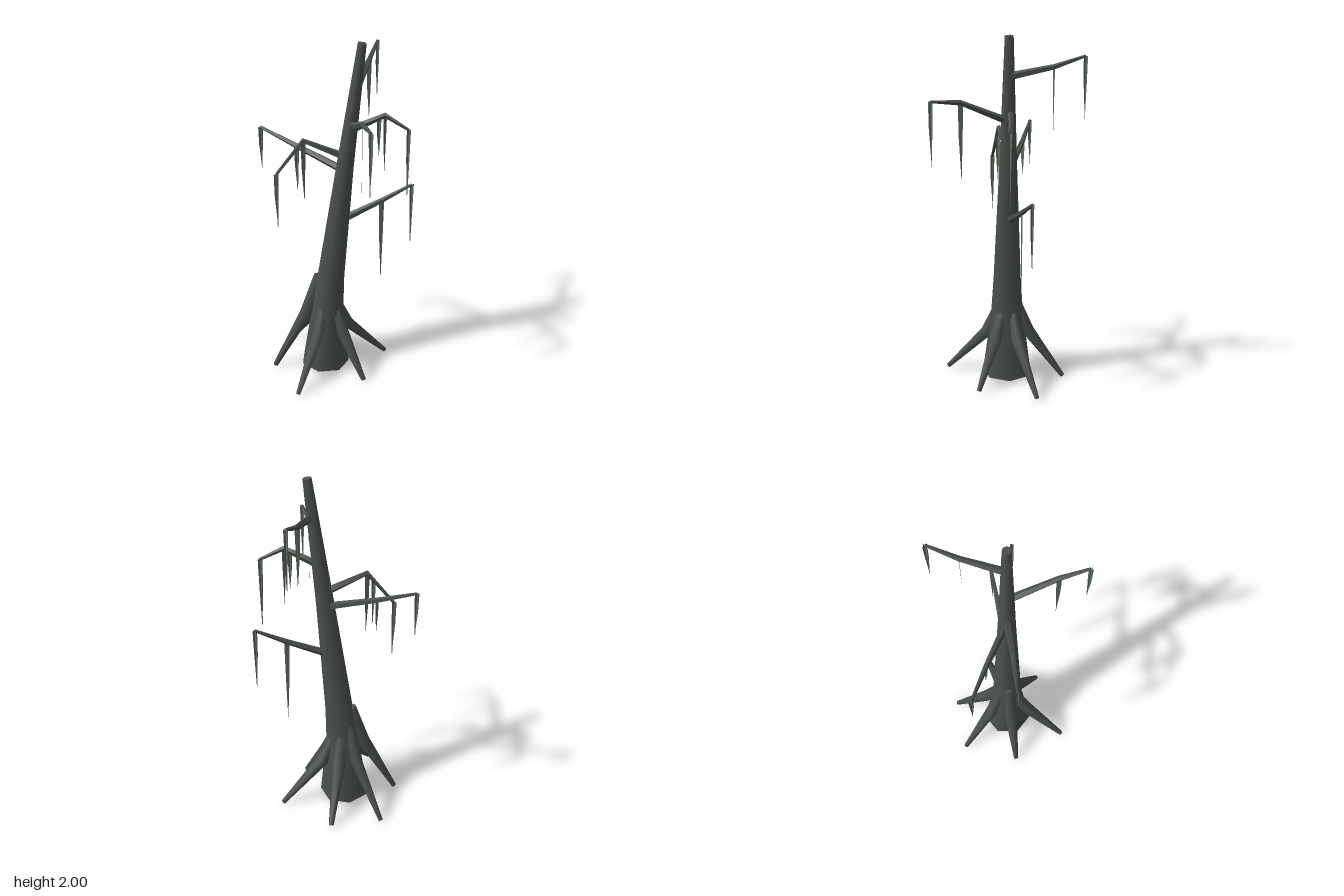
import * as THREE from 'three';
import { toCreasedNormals } from 'three/addons/utils/BufferGeometryUtils.js';

const V = (a) => new THREE.Vector3(a[0], a[1], a[2]);
const bark = new THREE.MeshStandardMaterial({ color: 0x4a504c });
const mossMat = new THREE.MeshStandardMaterial({ color: 0x5c6a5e, side: THREE.DoubleSide });

// Tapered limb: a cylinder whose rows follow the points, one radius per point
function limb(name, points, radii, sides) {
  const p = points.map(V), n = p.length;
  const turns = p.map((_, i) => {
    const dir = p[Math.min(i + 1, n - 1)].clone().sub(p[Math.max(i - 1, 0)]).normalize();
    return new THREE.Quaternion().setFromUnitVectors(new THREE.Vector3(0, 1, 0), dir);
  });
  const geo = new THREE.CylinderGeometry(1, 1, 1, sides, n - 1).rotateY(Math.PI);
  const pos = geo.attributes.position, v = new THREE.Vector3();
  for (let k = 0; k < pos.count; k++) {
    const i = Math.round((pos.getY(k) + 0.5) * (n - 1));
    v.set(pos.getX(k), 0, pos.getZ(k)).multiplyScalar(radii[i]).applyQuaternion(turns[i]).add(p[i]);
    pos.setXYZ(k, v.x, v.y, v.z);
  }
  const mesh = new THREE.Mesh(toCreasedNormals(geo, 1.1), bark);
  mesh.name = name;
  return mesh;
}

// Hanging strand: thin ribbons tapering to a point, one or two crossed
function moss(at, length, yaw, crossed) {
  const strand = new THREE.Group();
  strand.name = 'mossStrand';
  const shape = new THREE.Shape([
    [-0.014, 0], [-0.012, -0.4 * length], [0.002, -length],
    [0.010, -0.4 * length], [0.014, 0],
  ].map(([x, y]) => new THREE.Vector2(x, y)));
  for (let i = 0; i < (crossed ? 2 : 1); i++) {
    const ribbon = new THREE.Mesh(new THREE.ShapeGeometry(shape), mossMat);
    ribbon.name = 'mossRibbon';
    ribbon.rotation.y = yaw + i * Math.PI / 2;
    strand.add(ribbon);
  }
  strand.position.set(at[0], at[1], at[2]);
  return strand;
}

export function createModel() {
  const tree = new THREE.Group();
  tree.name = 'swampTree';

  // Leaning trunk with a flared foot
  tree.add(limb('trunk', [
    [-0.09, 0.03, -0.085], [-0.075, 0.4, -0.08], [-0.055, 0.62, -0.073],
    [0.022, 1.3, -0.05], [0.108, 2, -0.023],
  ], [0.143, 0.095, 0.08, 0.05, 0.024], 7));

  // Buttress roots: tip x, tip z, height where they leave the trunk
  const roots = [
    [-0.24, -0.39, 0.52], [0.05, -0.38, 0.48], [0.29, -0.13, 0.45],
    [0.1, 0.15, 0.45], [-0.3, 0.215, 0.45], [-0.39, -0.1, 0.62],
  ];
  for (const [x, z, top] of roots) {
    const cx = -0.075, cz = -0.08, d = Math.hypot(x - cx, z - cz);
    const along = (r, y) => [cx + (x - cx) * r / d, y, cz + (z - cz) * r / d];
    tree.add(limb('root', [along(0.05, top), along(0.125, top * 0.6), along(d, 0.015)],
      [0.026, 0.037, 0.014], 6));
  }

  // Bent branches: base, bend, tip, then strand lengths and yaws at bend and tip
  const branches = [
    [[0.1, 1.79, -0.04], [0.195, 1.84, -0.24], [0.273, 1.9, -0.385], 0.34, 0, 0.33, 0.5],
    [[0.05, 1.52, -0.04], [0.23, 1.61, 0.01], [0.35, 1.535, 0.055], 0.33, 0.6, 0.42, 0.4],
    [[0.055, 1.54, -0.04], [0.06, 1.655, 0.23], [0.068, 1.67, 0.395], 0.43, 1.45, 0.35, 0.8],
    [[0.02, 1.28, -0.06], [-0.22, 1.38, -0.22], [-0.4, 1.46, -0.33], 0.2, 0.7, 0.26, 0.3],
    [[0.03, 1.36, -0.05], [-0.2, 1.465, -0.07], [-0.35, 1.275, -0.08], 0.37, 0.2, 0.32, 0.2],
    [[0.01, 0.98, -0.055], [0.235, 1.08, -0.052], [0.405, 1.165, -0.048], 0.52, 0, 0.38, 0.4],
  ];
  for (const [base, bend, tip, bendLen, bendYaw, tipLen, tipYaw] of branches) {
    const group = new THREE.Group();
    group.name = 'branch';
    group.add(
      limb('branchWood', [base, bend, tip], [0.022, 0.015, 0.008], 5),
      moss(bend, bendLen, bendYaw, false),
      moss(tip, tipLen, tipYaw, true),
    );
    tree.add(group);
  }

  // Extra strands part-way along the limbs
  tree.add(moss([0.2, 1.59, 0], 0.22, 0.3, true));
  tree.add(moss([-0.235, 1.42, -0.073], 0.26, 0.4, true));
  return tree;
}
